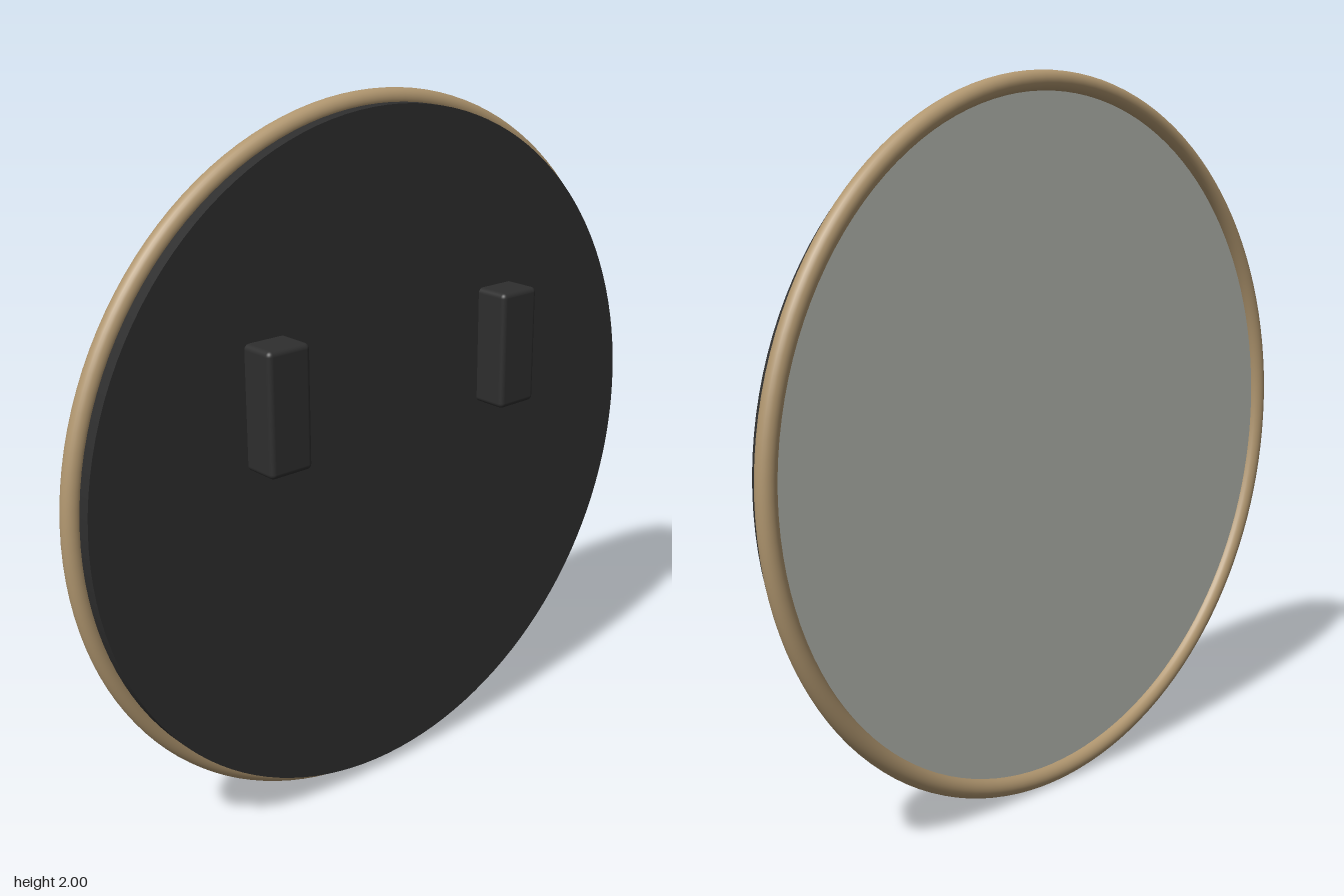
import * as THREE from 'three';
import { RoundedBoxGeometry } from 'three/addons/geometries/RoundedBoxGeometry.js';

function material(name, color) {
  const m = new THREE.MeshStandardMaterial({ color });
  m.name = name;
  return m;
}

export function createModel() {
  const group = new THREE.Group();
  group.name = 'roundWallMirror';
  const wood = material('wood', 0xb0966f);
  const black = material('black', 0x2e2e2e);
  const glass = material('mirrorGlass', 0xb8bcb4);

  const add = (name, geometry, mat, x, y, z) => {
    const mesh = new THREE.Mesh(geometry, mat);
    mesh.name = name;
    mesh.position.set(x, y, z);
    group.add(mesh);
    return mesh;
  };
  const disc = (radius, depth) =>
    new THREE.CylinderGeometry(radius, radius, depth, 128).rotateX(Math.PI / 2);

  // Rounded wooden rim
  add('rim', new THREE.TorusGeometry(0.973, 0.027, 24, 128), wood, 0, 1, -0.068);

  // Backing board on the front side, glass on the back side
  add('backingBoard', disc(0.965, 0.05), black, 0, 1, -0.03);
  add('mirrorGlass', disc(0.96, 0.015), glass, 0, 1, -0.0625);

  // Pair of rounded mounting blocks, slightly sunk into the board
  for (const side of [-1, 1]) {
    add(side > 0 ? 'leftMountingBlock' : 'rightMountingBlock',
      new RoundedBoxGeometry(0.135, 0.34, 0.115, 4, 0.015), black, side * 0.416, 1.25, 0.0375);
  }
  return group;
}
